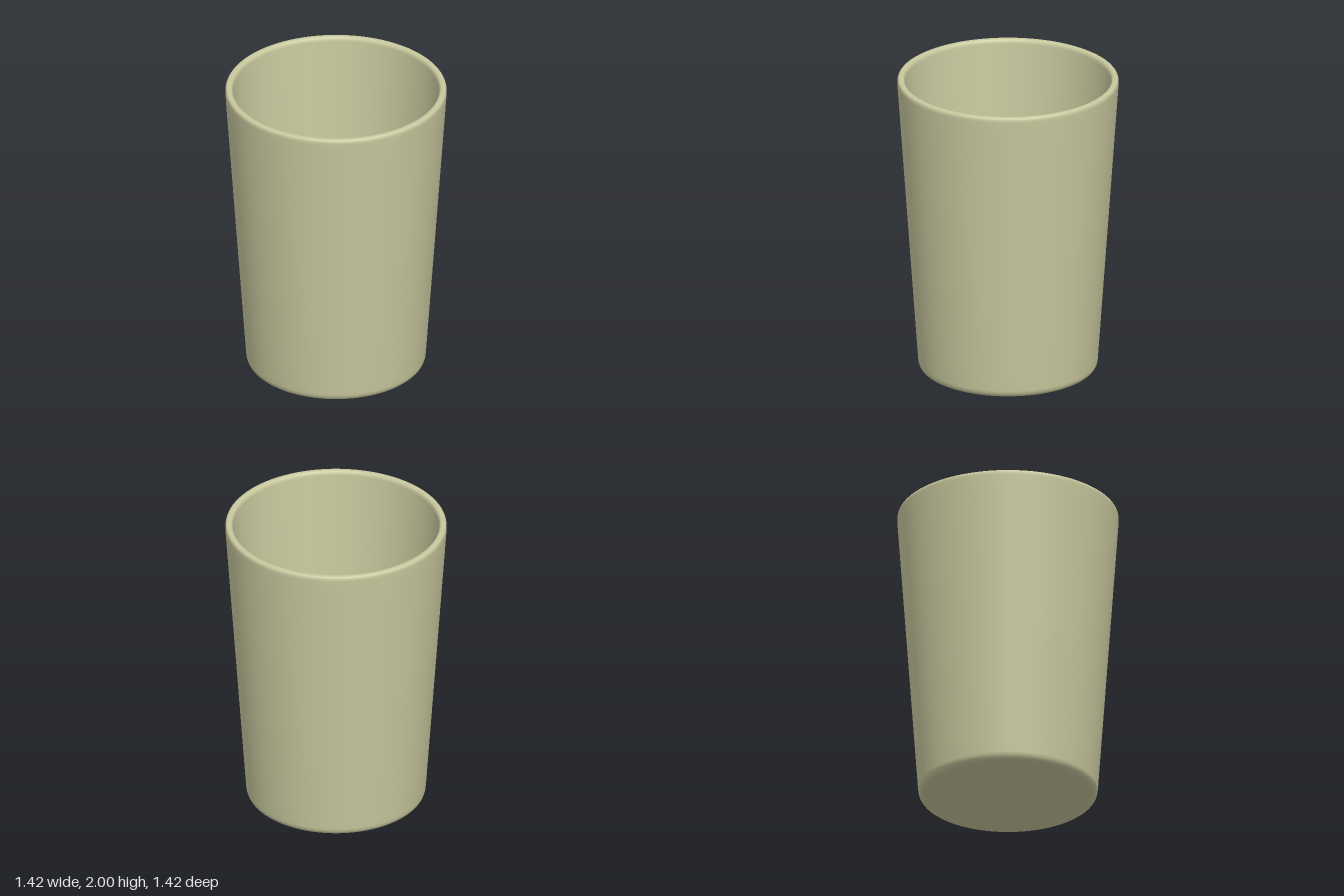
import * as THREE from 'three';

// Rounded corner from a to b, pulled toward corner c
function fillet(a, c, b, steps = 8) {
  return new THREE.QuadraticBezierCurve(
    new THREE.Vector2(...a), new THREE.Vector2(...c), new THREE.Vector2(...b)
  ).getPoints(steps);
}

export function createModel() {
  const group = new THREE.Group();
  group.name = 'cup';

  // Closed wall section: underside, outer wall, rim, inner wall, inner floor
  const profile = [
    new THREE.Vector2(0, 0),
    new THREE.Vector2(0.25, 0.004),
    new THREE.Vector2(0.45, 0.013),
    ...fillet([0.52, 0.017], [0.57, 0.02], [0.575, 0.07]),
    new THREE.Vector2(0.58, 0.14),
    new THREE.Vector2(0.704, 1.9),
    ...fillet([0.708, 1.965], [0.711, 2], [0.69, 2], 6),
    ...fillet([0.68, 2], [0.662, 2], [0.659, 1.97], 6),
    new THREE.Vector2(0.655, 1.9),
    new THREE.Vector2(0.536, 0.18),
    ...fillet([0.532, 0.12], [0.528, 0.065], [0.48, 0.063]),
    new THREE.Vector2(0.4, 0.06),
    new THREE.Vector2(0, 0.05),
  ];

  const body = new THREE.Mesh(
    new THREE.LatheGeometry(profile, 96),
    new THREE.MeshStandardMaterial({ color: 0xc8c89e })
  );
  body.name = 'cupBody';
  group.add(body);
  return group;
}
